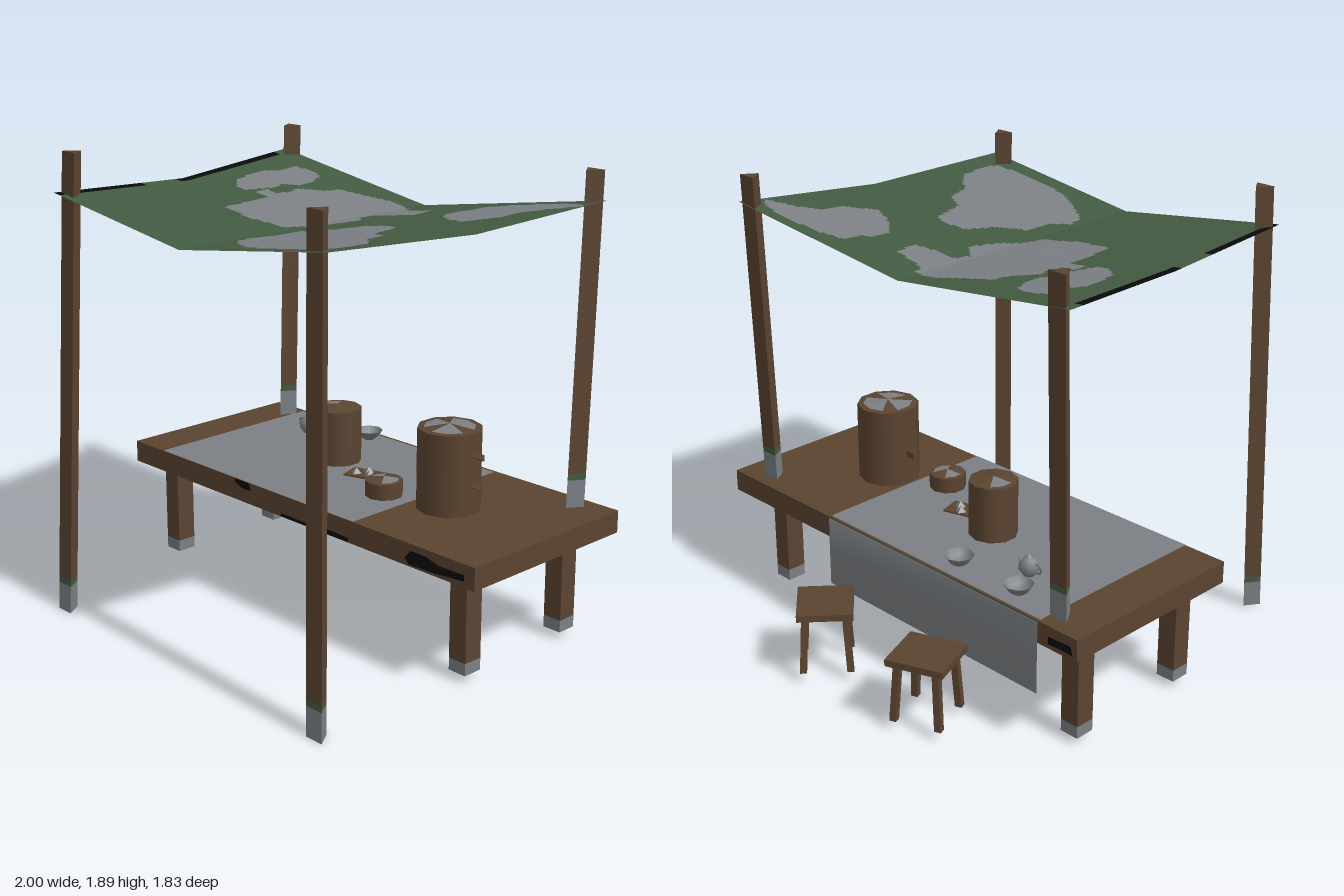
import * as THREE from 'three';

const mat = (name, color, double) => {
  const m = new THREE.MeshStandardMaterial({ color });
  m.name = name;
  if (double) m.side = THREE.DoubleSide;
  return m;
};
const wood = mat('wood', 0x5b4431);
const grey = mat('greyCloth', 0x7c8084, true);
const green = mat('greenCanvas', 0x435b42, true);
const black = mat('blackStain', 0x0b0b0b, true);

// Outlines (x, z) of the faded areas on the canopy
const fadeLeft = [[-0.68, -0.38], [-0.6, -0.4], [-0.52, -0.38], [-0.49, -0.32], [-0.46, -0.26], [-0.46, -0.2], [-0.51, -0.16],
  [-0.5, -0.07], [-0.53, 0.03], [-0.6, 0.03], [-0.67, -0.04], [-0.7, -0.14], [-0.71, -0.22], [-0.68, -0.27]];
const fadeMiddle = [[-0.33, -0.31], [-0.2, -0.35], [-0.1, -0.39], [0.02, -0.37], [0.04, -0.32], [0.2, -0.3], [0.22, -0.2],
  [0.16, -0.17], [0.03, -0.15], [0.02, -0.08], [0.09, -0.02], [0.05, 0.1], [0, 0.18], [-0.04, 0.27], [-0.12, 0.28], [-0.2, 0.3],
  [-0.37, 0.28], [-0.39, 0.16], [-0.4, 0.02], [-0.49, 0.03], [-0.5, -0.06], [-0.43, -0.03], [-0.41, -0.1], [-0.43, -0.16], [-0.35, -0.24]];
const fadeBack = [[0.4, -0.4], [0.5, -0.44], [0.7, -0.47], [0.84, -0.45], [0.87, -0.41], [0.76, -0.35], [0.68, -0.27],
  [0.68, -0.18], [0.58, -0.07], [0.48, -0.1], [0.36, -0.2], [0.36, -0.28], [0.4, -0.33]];
const fadeFront = [[0.23, 0.1], [0.33, 0.07], [0.4, 0.1], [0.44, 0.25], [0.53, 0.3], [0.56, 0.4], [0.68, 0.52], [0.69, 0.65],
  [0.67, 0.72], [0.45, 0.73], [0.28, 0.72], [0.2, 0.68], [0.05, 0.58], [0.03, 0.5], [0.08, 0.42], [0.08, 0.3], [0.18, 0.22]];
const fades = [fadeLeft, fadeMiddle, fadeBack, fadeFront];

function inside(poly, x, z) {
  let hit = false;
  poly.forEach(([ax, az], i) => {
    const [bx, bz] = poly[(i + 1) % poly.length];
    if ((az > z) !== (bz > z) && x < ax + (z - az) / (bz - az) * (bx - ax)) hit = !hit;
  });
  return hit;
}

function flat(g) {
  const f = g.index ? g.toNonIndexed() : g;
  f.computeVertexNormals();
  return f;
}

function add(parent, name, geo, material, x = 0, y = 0, z = 0) {
  const m = new THREE.Mesh(geo, material);
  m.name = name;
  m.position.set(x, y, z);
  parent.add(m);
  return m;
}

function group(parent, name, x = 0, y = 0, z = 0) {
  const g = new THREE.Group();
  g.name = name;
  g.position.set(x, y, z);
  parent.add(g);
  return g;
}

// Leaning three-sided post: grey foot, thin green band, wooden shaft
function post(parent, name, a, b, turn) {
  const g = group(parent, name), h = b[1] - a[1];
  const cuts = [0, 0.115, 0.14, h];
  [grey, green, wood].forEach((material, i) => {
    const len = cuts[i + 1] - cuts[i];
    const geo = new THREE.CylinderGeometry(0.047, 0.047, len, 3, 1, false, turn);
    geo.translate(0, cuts[i] + len / 2, 0);
    const p = geo.attributes.position;
    for (let k = 0; k < p.count; k++) {
      const t = p.getY(k) / h;
      p.setXYZ(k, p.getX(k) + a[0] + (b[0] - a[0]) * t, p.getY(k) + a[1], p.getZ(k) * 0.88 + a[2] + (b[2] - a[2]) * t);
    }
    add(g, ['postFoot', 'postBand', 'postShaft'][i], flat(geo), material);
  });
}

// Sagging sheet made from a 3 x 3 net, coloured cell by cell
function canopy(parent) {
  const net = [
    [[-0.915, 1.75, -0.53], [0, 1.62, -0.48], [0.895, 1.75, -0.53]],
    [[-0.815, 1.705, 0.14], [0, 1.62, 0.14], [0.835, 1.705, 0.14]],
    [[-0.78, 1.73, 0.81], [0, 1.62, 0.81], [0.78, 1.73, 0.81]]];
  const nu = 120, nv = 100;
  const at = (u, v) => {
    const i = Math.min(1, Math.floor(u * 2)), j = Math.min(1, Math.floor(v * 2)), s = u * 2 - i, t = v * 2 - j;
    return [0, 1, 2].map(k => (net[j][i][k] * (1 - s) + net[j][i + 1][k] * s) * (1 - t)
      + (net[j + 1][i][k] * (1 - s) + net[j + 1][i + 1][k] * s) * t);
  };
  const pos = [], cells = [[], [], []];
  for (let j = 0; j <= nv; j++) for (let i = 0; i <= nu; i++) pos.push(...at(i / nu, j / nv));
  for (let j = 0; j < nv; j++) for (let i = 0; i < nu; i++) {
    const [x, , z] = at((i + 0.5) / nu, (j + 0.5) / nv);
    const edge = i < 3 && ((z > -0.45 && z < 0.18) || z > 0.37);
    const k = edge ? 2 : fades.some(p => inside(p, x, z)) ? 1 : 0;
    const a = j * (nu + 1) + i, c = a + nu + 1;
    cells[k].push(a, c, a + 1, a + 1, c, c + 1);
  }
  const geo = new THREE.BufferGeometry();
  geo.setAttribute('position', new THREE.Float32BufferAttribute(pos, 3));
  geo.setIndex(cells.flat());
  let start = 0;
  cells.forEach((c, k) => { geo.addGroup(start, c.length, k); start += c.length; });
  geo.computeVertexNormals();
  add(parent, 'canopy', geo, [green, grey, black]);
}

// Round tub with a shallow lid; some lid slices are grey
function tub(parent, name, x, z, r, h, greySlices) {
  const g = group(parent, name, x, 0.53, z), n = 10;
  add(g, 'tubBody', new THREE.CylinderGeometry(r, r, h, n), wood, 0, h / 2, 0);
  for (let i = 0; i < n; i++) {
    const lid = new THREE.ConeGeometry(r * 0.8, 0.012, 1, 1, true, i / n * Math.PI * 2, Math.PI * 2 / n);
    add(g, 'lidSlice', flat(lid), greySlices.includes(i) ? grey : wood, 0, h + 0.008, 0);
  }
  add(g, 'lidRim', flat(new THREE.CylinderGeometry(r * 0.8, r, 0.004, n)), wood, 0, h, 0);
  return g;
}

function bowl(parent, x, z) {
  const pts = [[0, 0.004], [0.025, 0.004], [0.045, 0.02], [0.06, 0.045]].map(p => new THREE.Vector2(...p));
  add(parent, 'bowl', new THREE.LatheGeometry(pts, 8), grey, x, 0.535, z);
}

function stool(parent, x, z, turn) {
  const g = group(parent, 'stool', x, 0, z);
  g.rotation.y = turn;
  add(g, 'stoolSeat', new THREE.BoxGeometry(0.24, 0.028, 0.225), wood, 0, 0.294, 0);
  for (const sx of [-1, 1]) for (const sz of [-1, 1]) {
    const leg = new THREE.BoxGeometry(0.028, 0.245, 0.028);
    const p = leg.attributes.position;
    for (let k = 0; k < p.count; k++) {
      const out = p.getY(k) < 0 ? 0.094 : 0.08;
      p.setX(k, p.getX(k) + sx * out);
      p.setZ(k, p.getZ(k) + sz * out);
    }
    add(g, 'stoolLeg', flat(leg), wood, 0, 0.162, 0);
  }
}

export function createModel() {
  const model = new THREE.Group();
  model.name = 'marketStall';

  // Table with grey-footed legs
  const table = group(model, 'table');
  add(table, 'tableTop', new THREE.BoxGeometry(2, 0.092, 0.84), wood, 0, 0.486, -0.13);
  for (const x of [-0.877, 0.84]) for (const z of [0.155, -0.405]) {
    add(table, 'tableLeg', new THREE.BoxGeometry(0.083, 0.365, 0.085), wood, x, 0.2625, z);
    add(table, 'tableLegFoot', new THREE.BoxGeometry(0.083, 0.05, 0.085), grey, x, 0.055, z);
  }

  // Dark stains on the table edges
  const stain = (name, pts, z) => add(table, name, new THREE.ShapeGeometry(
    new THREE.Shape(pts.map(p => new THREE.Vector2(...p)))), black, 0, 0, z);
  stain('stainLeft', [[-0.33, 0.531], [-0.33, 0.515], [-0.28, 0.498], [-0.23, 0.5], [-0.24, 0.531]], 0.292);
  stain('stainMiddle', [[-0.05, 0.442], [0.34, 0.442], [0.35, 0.46], [0.2, 0.464], [0.12, 0.454], [-0.04, 0.456]], 0.292);
  stain('stainRight', [[0.65, 0.47], [0.67, 0.448], [0.8, 0.452], [0.95, 0.465], [0.95, 0.49], [0.82, 0.488], [0.76, 0.505], [0.68, 0.505]], 0.292);
  stain('stainBack', [[-0.98, 0.46], [-0.86, 0.46], [-0.86, 0.49], [-0.97, 0.495]], -0.552);

  // Table cloth hanging over the back edge
  const rows = [[0.29, 0.534], [-0.15, 0.535], [-0.53, 0.535], [-0.555, 0.525], [-0.557, 0.38], [-0.557, 0.228]];
  const cloth = new THREE.PlaneGeometry(1.18, 1, 1, rows.length - 1);
  const cp = cloth.attributes.position;
  for (let k = 0; k < cp.count; k++) {
    const [z, y] = rows[Math.floor(k / 2)];
    cp.setXYZ(k, k % 2 ? -0.81 : 0.37, y, z);
  }
  cloth.computeVertexNormals();
  add(model, 'tableCloth', cloth, grey);

  // Posts and canopy
  post(model, 'backPostRight', [-0.848, 0.53, -0.465], [-0.848, 1.865, -0.505], 0);
  post(model, 'backPostLeft', [0.84, 0.53, -0.465], [0.84, 1.865, -0.505], 0);
  post(model, 'frontPostRight', [-0.715, 0, 0.88], [-0.735, 1.89, 0.745], Math.PI);
  post(model, 'frontPostLeft', [0.808, 0, 0.885], [0.675, 1.855, 0.745], Math.PI);
  canopy(model);

  // Tubs, the largest with pegs in its side
  const big = tub(model, 'largeTub', 0.51, -0.1, 0.13, 0.335, [0, 1, 3, 4, 5, 7, 8]);
  for (const [x, y] of [[0.145, 0.245], [0.145, 0.12], [-0.135, 0.137]]) {
    const peg = add(big, 'peg', flat(new THREE.CylinderGeometry(0.015, 0.015, 0.06, 3)), wood, x, y, 0);
    peg.rotation.z = Math.PI / 2;
  }
  tub(model, 'mediumTub', -0.2, -0.175, 0.1, 0.24, [6, 7]);
  tub(model, 'smallTub', 0.24, -0.01, 0.077, 0.07, [1, 2, 3, 6, 7]);

  // Crockery
  bowl(model, -0.62, -0.46);
  bowl(model, -0.3, -0.46);
  const pot = group(model, 'teapot', -0.55, 0.575, -0.33);
  add(pot, 'potBody', new THREE.SphereGeometry(0.043, 8, 5), grey);
  add(pot, 'potLid', new THREE.ConeGeometry(0.016, 0.02, 6), grey, 0, 0.045, 0);
  const spout = add(pot, 'potSpout', new THREE.ConeGeometry(0.014, 0.05, 5), grey, 0.045, 0.012, 0);
  spout.rotation.z = -0.9;
  add(pot, 'potHandle', new THREE.TorusGeometry(0.018, 0.005, 4, 8), grey, -0.045, 0.003, 0);

  // Board with food pieces
  const board = group(model, 'servingBoard', 0.02, 0.538, -0.12);
  board.rotation.y = 0.3;
  add(board, 'boardPlate', new THREE.BoxGeometry(0.15, 0.006, 0.1), wood);
  for (const [x, z] of [[-0.035, 0.01], [0.03, 0.015], [0.005, -0.025]])
    add(board, 'foodPiece', flat(new THREE.ConeGeometry(0.026, 0.025, 4)), grey, x, 0.014, z);

  // Stools behind the table
  stool(model, -0.405, -0.735, 0.38);
  stool(model, 0.163, -0.757, -0.71);
  return model;
}
